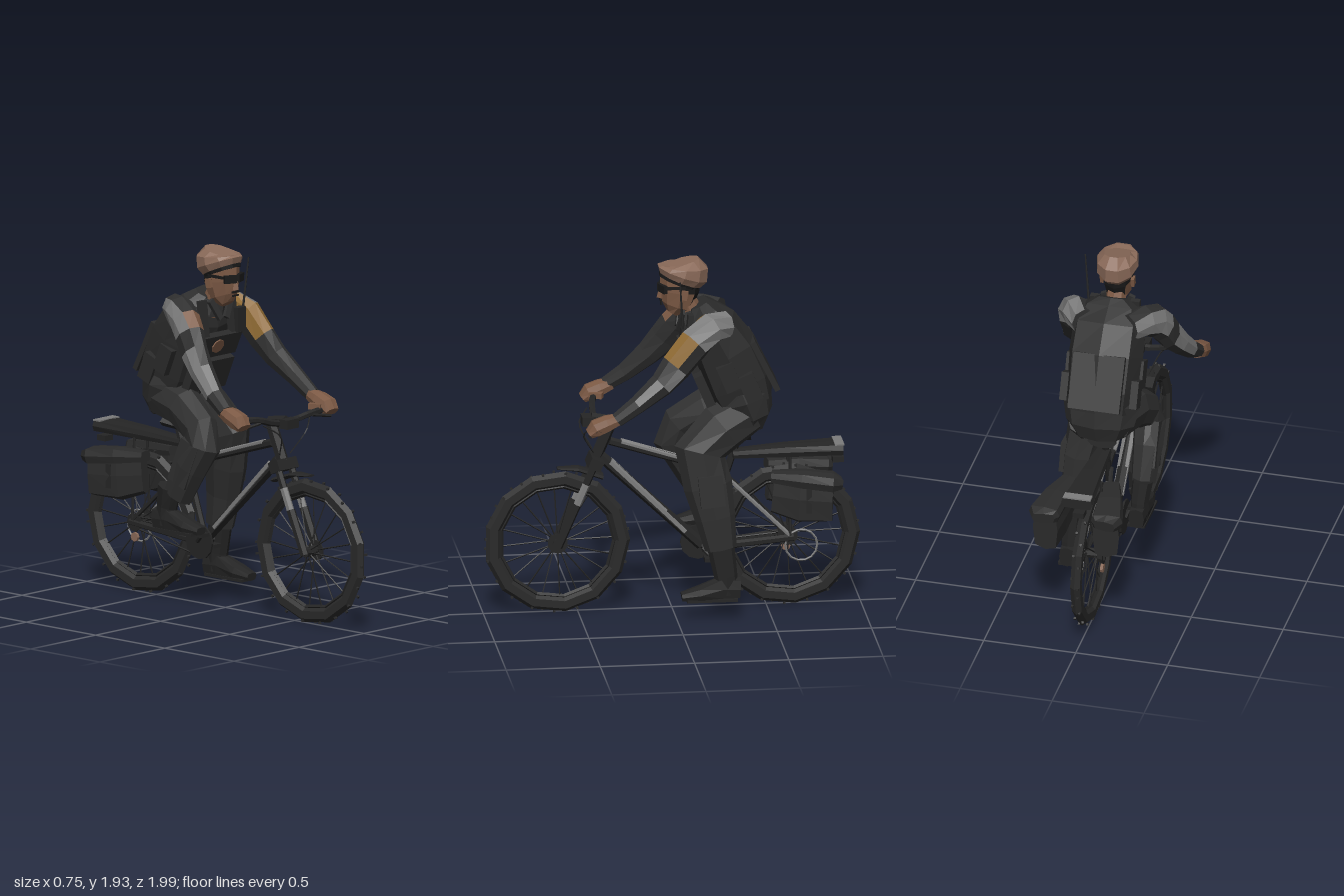
import * as THREE from 'three';

const mat = (name, color, flat = true) => {
  const m = new THREE.MeshStandardMaterial({ color, flatShading: flat });
  m.name = name;
  return m;
};

export function createModel() {
  const root = new THREE.Group();
  const cloth = mat('dark cloth', 0x303030), black = mat('black metal', 0x252525);
  const rubber = mat('tyre rubber', 0x2a2a2a), vestM = mat('vest', 0x2b2b2b);
  const skin = mat('skin', 0x7d5a45), capM = mat('cap brown', 0x8a6a59);
  const ochre = mat('ochre patch', 0x8f6a33), grey = mat('grey', 0x7c7c7c), hair = mat('glossy black', 0x191919);

  const group = (name, parent = root) => {
    const g = new THREE.Group();
    g.name = name;
    parent.add(g);
    return g;
  };
  const add = (parent, name, geo, m, pos = [0, 0, 0], rot = [0, 0, 0]) => {
    const o = new THREE.Mesh(geo, m);
    o.name = name;
    o.position.set(...pos);
    o.rotation.set(...rot);
    parent.add(o);
    return o;
  };
  const box = (p, name, size, m, pos, rot) => add(p, name, new THREE.BoxGeometry(...size), m, pos, rot);
  // straight bar between two points
  const rod = (p, name, a, b, r, m, r2 = r, sides = 6) => {
    const A = new THREE.Vector3(...a), B = new THREE.Vector3(...b), d = B.clone().sub(A);
    const o = add(p, name, new THREE.CylinderGeometry(r2, r, d.length(), sides), m);
    o.position.copy(A).add(B).multiplyScalar(0.5);
    o.quaternion.setFromUnitVectors(new THREE.Vector3(0, 1, 0), d.normalize());
    return o;
  };
  // skin over cross-sections [x, y, z, halfWidth, halfDepth]; paint(ring, side) picks a material
  const loft = (p, name, secs, mats, paint, power = 1, n = 8) => {
    const c = secs.map(s => new THREE.Vector3(s[0], s[1], s[2])), X = new THREE.Vector3(1, 0, 0);
    const pw = v => Math.sign(v) * Math.abs(v) ** power;
    const rings = secs.map((s, i) => {
      const t = c[Math.min(i + 1, c.length - 1)].clone().sub(c[Math.max(i - 1, 0)]).normalize();
      const side = X.clone().addScaledVector(t, -t.x).normalize(), nn = t.clone().cross(side);
      return Array.from({ length: n }, (_, j) => {
        const a = j / n * Math.PI * 2;
        return c[i].clone().addScaledVector(side, pw(Math.cos(a)) * s[3]).addScaledVector(nn, pw(Math.sin(a)) * s[4]);
      });
    });
    const list = Array.isArray(mats) ? mats : [mats], buckets = list.map(() => []), last = c.length - 1;
    for (let j = 0; j < n; j++) {
      const k = (j + 1) % n;
      buckets[0].push(c[0], rings[0][k], rings[0][j], c[last], rings[last][j], rings[last][k]);
      for (let i = 0; i < last; i++) {
        const a = rings[i][j], b = rings[i][k], d = rings[i + 1][j], e = rings[i + 1][k];
        buckets[paint ? paint(i, j) : 0].push(a, b, e, a, e, d);
      }
    }
    const g = new THREE.BufferGeometry().setFromPoints(buckets.flat());
    let start = 0;
    buckets.forEach((b, i) => { g.addGroup(start, b.length, i); start += b.length; });
    g.computeVertexNormals();
    return add(p, name, g, list);
  };

  // ---------- bicycle ----------
  const bike = group('bicycle');
  bike.position.x = 0.01;
  const wheel = (name, z) => {
    const w = group(name, bike);
    w.position.set(0, 0.385, z);
    w.rotation.y = Math.PI / 2;
    add(w, 'tyre', new THREE.TorusGeometry(0.347, 0.042, 6, 13), rubber).scale.z = 0.72;
    add(w, 'rim', new THREE.TorusGeometry(0.305, 0.012, 4, 13), black);
    add(w, 'hub', new THREE.CylinderGeometry(0.028, 0.028, 0.1, 8), black, [0, 0, 0], [Math.PI / 2, 0, 0]);
    add(w, 'brakeDisc', new THREE.CylinderGeometry(0.055, 0.055, 0.008, 10), black, [0, 0, 0.035], [Math.PI / 2, 0, 0]);
    for (let i = 0; i < 20; i++) {
      const a = i / 20 * Math.PI * 2;
      rod(w, 'spoke', [Math.cos(a) * 0.025, Math.sin(a) * 0.025, i % 2 ? 0.025 : -0.025],
        [Math.cos(a + 0.05) * 0.31, Math.sin(a + 0.05) * 0.31, 0], 0.004, black, 0.004, 4);
    }
    for (let i = 0; i < 39; i++) {
      const a = i / 39 * Math.PI * 2;
      box(w, 'tread', [0.012, 0.012, 0.012], rubber, [Math.cos(a) * 0.38, Math.sin(a) * 0.38, i % 2 ? 0.016 : -0.016], [0, 0, a]);
    }
  };
  wheel('frontWheel', 0.61);
  wheel('rearWheel', -0.61);

  // frame tubes with pale side strips
  const bb = [0, 0.34, -0.155];
  rod(bike, 'topTube', [0, 0.93, 0.33], [0, 0.74, -0.28], 0.022, black);
  rod(bike, 'downTube', [0, 0.85, 0.38], bb, 0.03, black);
  rod(bike, 'seatTube', bb, [0, 0.95, -0.36], 0.02, black);
  rod(bike, 'headTube', [0, 1.04, 0.32], [0, 0.84, 0.405], 0.032, black);
  for (const s of [1, -1]) {
    rod(bike, 'topTubeStrip', [s * 0.014, 0.927, 0.27], [s * 0.014, 0.775, -0.2], 0.012, grey);
    rod(bike, 'downTubeStrip', [s * 0.014, 0.82, 0.33], [s * 0.014, 0.42, -0.07], 0.019, grey);
    rod(bike, 'chainStay', [s * 0.03, 0.33, -0.155], [s * 0.06, 0.38, -0.64], 0.02, black);
    rod(bike, 'seatStay', [s * 0.02, 0.72, -0.28], [s * 0.06, 0.39, -0.62], 0.012, s > 0 ? grey : black);
    rod(bike, 'forkTop', [s * 0.05, 0.84, 0.405], [s * 0.05, 0.7, 0.465], 0.02, black);
    rod(bike, 'forkStanchion', [s * 0.05, 0.71, 0.46], [s * 0.05, 0.57, 0.52], 0.021, grey);
    rod(bike, 'forkLeg', [s * 0.05, 0.6, 0.51], [s * 0.05, 0.37, 0.61], 0.024, black);
    rod(bike, 'crankArm', [s * 0.06, 0.34, -0.155], [s * 0.08, 0.34 - s * 0.05, -0.15 - s * 0.05], 0.012, black);
    box(bike, 'pedal', [0.06, 0.02, 0.08], black, [s * 0.1, 0.34 - s * 0.05, -0.15 - s * 0.05]);
    rod(bike, 'chain', [-0.055, 0.34 + s * 0.075, -0.16], [-0.055, 0.38 + s * 0.03, -0.61], 0.005, black, 0.005, 4);
    rod(bike, 'rackStrut', [s * 0.05, 0.83, -0.62], [s * 0.065, 0.39, -0.62], 0.008, black);
  }
  box(bike, 'forkCrown', [0.15, 0.06, 0.07], black, [0, 0.82, 0.41], [-0.4, 0, 0]);
  loft(bike, 'frontFender', [[0, 0.79, 0.61, 0.025, 0.006], [0, 0.785, 0.5, 0.05, 0.012], [0, 0.74, 0.37, 0.06, 0.015]], black);
  add(bike, 'chainring', new THREE.CylinderGeometry(0.095, 0.095, 0.012, 12), black, [-0.055, 0.34, -0.145], [0, 0, Math.PI / 2]);
  add(bike, 'cassette', new THREE.CylinderGeometry(0.05, 0.04, 0.03, 10), black, [-0.05, 0.38, -0.61], [0, 0, Math.PI / 2]);
  add(bike, 'derailleurWheel', new THREE.CylinderGeometry(0.025, 0.025, 0.015, 8), capM, [-0.055, 0.3, -0.61], [0, 0, Math.PI / 2]);
  add(bike, 'cableLoop', new THREE.TorusGeometry(0.085, 0.006, 4, 14), grey, [0.055, 0.335, -0.68], [0, Math.PI / 2, 0]);
  loft(bike, 'saddle', [[0, 0.93, -0.17, 0.025, 0.015], [0, 0.93, -0.3, 0.05, 0.025], [0, 0.95, -0.41, 0.08, 0.035]], black);

  // handlebar, stem and cables
  const bar = new THREE.CatmullRomCurve3([[-0.36, 1.09, 0.355], [-0.2, 1.09, 0.4], [-0.07, 1.055, 0.41], [0.07, 1.055, 0.42], [0.2, 1.08, 0.44], [0.36, 1.08, 0.43]]
    .map(p => new THREE.Vector3(...p)));
  add(bike, 'handlebar', new THREE.TubeGeometry(bar, 14, 0.018, 6), black);
  rod(bike, 'stem', [0, 1.04, 0.31], [0, 1.06, 0.43], 0.03, black);
  box(bike, 'headlamp', [0.09, 0.05, 0.06], black, [0, 1.05, 0.45]);
  for (const s of [1, -1]) {
    rod(bike, 'brakeLever', [s * 0.18, 1.07, 0.43 + s * 0.02], [s * 0.3, 1.05, 0.43 + s * 0.04], 0.009, black);
    const cable = new THREE.CatmullRomCurve3([[s * 0.18, 1.06, 0.43], [s * 0.1, 1.0, 0.48], [s * 0.04, 0.88, 0.42]].map(p => new THREE.Vector3(...p)));
    add(bike, 'brakeCable', new THREE.TubeGeometry(cable, 8, 0.004, 4), black);
  }

  // rear rack and bags
  loft(bike, 'rackTop', [[0.01, 0.84, -0.32, 0.04, 0.022], [0.01, 0.85, -0.58, 0.06, 0.03], [0.01, 0.858, -0.9, 0.085, 0.032]], black, null, 0.4);
  box(bike, 'rackRearStrip', [0.15, 0.008, 0.05], grey, [0.01, 0.888, -0.88]);
  box(bike, 'tailLight', [0.06, 0.03, 0.06], black, [0, 0.79, -0.88]);
  for (const s of [1, -1]) {
    const bag = group(s > 0 ? 'leftPannier' : 'rightPannier', bike);
    bag.position.x = 0.035;
    loft(bag, 'bagBody', [[s * 0.11, 0.65, -0.52, 0.035, 0.1], [s * 0.14, 0.635, -0.66, 0.055, 0.135], [s * 0.165, 0.63, -0.83, 0.07, 0.125]], vestM, null, 0.5);
    loft(bag, 'bagLid', [[s * 0.115, 0.75, -0.51, 0.045, 0.03], [s * 0.145, 0.74, -0.67, 0.07, 0.045], [s * 0.17, 0.725, -0.83, 0.085, 0.045], [s * 0.165, 0.72, -0.87, 0.06, 0.03]], vestM, null, 0.5);
    box(bag, 'bagStrap', [0.01, 0.13, 0.03], black, [s * 0.2, 0.63, -0.7], [0, s * -0.15, 0]);
  }

  // ---------- rider ----------
  const rider = group('rider');
  loft(rider, 'pelvis', [[0.02, 1.0, -0.41, 0.14, 0.08], [0.02, 1.07, -0.41, 0.185, 0.125], [0.02, 1.17, -0.37, 0.21, 0.165], [0.02, 1.22, -0.35, 0.195, 0.165]], cloth);
  loft(rider, 'vest', [[0.02, 1.14, -0.385, 0.185, 0.155], [0.02, 1.25, -0.345, 0.195, 0.18], [0.02, 1.42, -0.275, 0.2, 0.175],
    [0.02, 1.56, -0.2, 0.195, 0.145], [0.02, 1.64, -0.155, 0.155, 0.085], [0.02, 1.68, -0.135, 0.085, 0.055]], vestM, null, 0.75);
  box(rider, 'backPanel', [0.28, 0.3, 0.03], vestM, [0.02, 1.355, -0.478], [0.46, 0, 0]);
  box(rider, 'lowerFrontPouch', [0.29, 0.18, 0.05], vestM, [0.03, 1.235, -0.155], [0.4, 0, 0]);
  const chest = group('chestPanel', rider);
  chest.position.set(0.02, 1.4, -0.085);
  chest.rotation.x = 0.42;
  box(chest, 'upperFrontPouch', [0.31, 0.13, 0.04], vestM);
  add(chest, 'chestEmblem', new THREE.CylinderGeometry(0.043, 0.043, 0.008, 8), skin, [-0.01, 0.003, 0.023], [Math.PI / 2, 0, 0]).scale.z = 0.95;
  for (const s of [1, -1]) {
    for (const k of [0, 1]) box(rider, 'sidePouch', [0.04, 0.15, 0.09], vestM, [0.02 + s * 0.19, 1.26 + k * 0.06, -0.39 + k * 0.11], [0.4, 0, 0]);
    box(rider, 'shoulderStrap', [0.05, 0.22, 0.03], vestM, [0.02 + s * 0.11, 1.54, -0.075], [-0.1, 0, 0]);
    box(rider, 'collarFlap', [0.035, 0.12, 0.02], cloth, [0.015 + s * 0.05, 1.6, -0.04], [-0.2, 0, s * -0.5]);
  }
  box(rider, 'radio', [0.06, 0.13, 0.04], black, [0.16, 1.52, -0.05]);
  rod(rider, 'antenna', [0.175, 1.56, -0.04], [0.2, 1.85, -0.02], 0.007, black, 0.004);

  // arms: upper-front sides are 0-3, outer sides mirrored for the right arm
  const arm = (name, s, pts, paint) => {
    const secs = pts.map(([x, ...r]) => [x * s, ...r]);
    loft(rider, name, secs, [cloth, ochre, grey, skin], (i, j) => paint(i, s > 0 ? j : (11 - j) % 8));
  };
  arm('leftArm', 1, [[0.14, 1.59, -0.27, 0.07, 0.075], [0.2, 1.59, -0.18, 0.085, 0.085], [0.26, 1.53, -0.09, 0.07, 0.09], [0.275, 1.41, 0.01, 0.06, 0.085],
    [0.295, 1.32, 0.09, 0.06, 0.068], [0.315, 1.22, 0.22, 0.05, 0.05], [0.32, 1.14, 0.33, 0.04, 0.04]],
  (i, j) => {
    if (i === 2 && j < 4 || i === 1 && (j === 2 || j === 3)) return 1;
    if (i < 2 && (j === 7 || j < 2) || i === 4 && j === 0 || i === 3 && j === 7) return 2;
    return 0;
  });
  arm('rightArm', -1, [[0.1, 1.59, -0.27, 0.07, 0.075], [0.16, 1.59, -0.18, 0.08, 0.085], [0.2, 1.55, -0.1, 0.075, 0.09], [0.225, 1.49, -0.045, 0.07, 0.088],
    [0.25, 1.41, 0.01, 0.06, 0.085], [0.275, 1.32, 0.09, 0.06, 0.068], [0.305, 1.21, 0.21, 0.05, 0.05], [0.325, 1.14, 0.31, 0.04, 0.04]],
  (i, j) => {
    if (i === 2 && (j === 1 || j === 2)) return 3;
    if (i < 3 && (j === 0 || j === 7) || (i === 4 || i === 5) && (j === 0 || j === 7) || i === 5 && j === 1) return 2;
    return 0;
  });
  for (const [name, x, z] of [['leftHand', 0.315, 0.41], ['rightHand', -0.32, 0.37]]) {
    loft(rider, name, [[x, 1.145, z - 0.09, 0.035, 0.032], [x, 1.125, z - 0.03, 0.052, 0.042], [x, 1.1, z + 0.03, 0.055, 0.045], [x, 1.07, z + 0.065, 0.045, 0.025]], skin, null, 0.7);
    box(rider, 'thumb', [0.04, 0.03, 0.07], skin, [x - Math.sign(x) * 0.06, 1.1, z], [0, Math.sign(x) * 0.4, 0]);
  }

  // legs and boots
  loft(rider, 'leftTrouser', [[0.1, 1.1, -0.4, 0.1, 0.12], [0.13, 1.02, -0.25, 0.105, 0.14], [0.16, 0.9, -0.13, 0.1, 0.14], [0.185, 0.72, -0.17, 0.092, 0.13],
    [0.205, 0.55, -0.205, 0.075, 0.108], [0.21, 0.38, -0.235, 0.062, 0.085]], cloth);
  loft(rider, 'rightTrouser', [[-0.06, 1.1, -0.4, 0.1, 0.12], [-0.1, 1.06, -0.2, 0.1, 0.115], [-0.13, 0.97, -0.06, 0.088, 0.105], [-0.15, 0.88, -0.02, 0.085, 0.1],
    [-0.16, 0.77, -0.1, 0.08, 0.105], [-0.16, 0.6, -0.19, 0.065, 0.09]], cloth);
  box(rider, 'leftPocket', [0.04, 0.17, 0.13], cloth, [0.262, 0.71, -0.18], [0.1, 0, 0.05]);
  box(rider, 'rightPocket', [0.04, 0.25, 0.13], cloth, [-0.205, 0.79, -0.1], [0.4, 0, 0]);
  const boot = (name, x, y, z, top) => {
    const b = group(name, rider);
    b.position.set(x, y, z);
    loft(b, 'shaft', [[-0.01, top, 0.03, 0.055, 0.075], [0, 0.13, 0, 0.048, 0.062], [0, 0.03, -0.01, 0.045, 0.06]], black);
    loft(b, 'shoe', [[0, 0.06, -0.075, 0.042, 0.058], [0, 0.065, 0.02, 0.048, 0.063], [0.01, 0.04, 0.14, 0.055, 0.038], [0.01, 0.025, 0.235, 0.035, 0.022]], black, null, 0.6);
    box(b, 'sole', [0.095, 0.015, 0.27], black, [0.005, 0.006, 0.075]);
  };
  boot('leftBoot', 0.22, 0.1, -0.26, 0.32);
  boot('rightBoot', -0.16, 0.4, -0.27, 0.24);

  // head
  const head = group('head', rider);
  head.position.x = 0.015;
  loft(head, 'neck', [[0, 1.57, -0.13, 0.06, 0.065], [0, 1.69, -0.07, 0.052, 0.06]], skin);
  loft(head, 'collar', [[0, 1.59, -0.13, 0.1, 0.1], [0, 1.655, -0.1, 0.07, 0.078]], cloth);
  loft(head, 'skull', [[0, 1.63, 0.0, 0.038, 0.035], [0, 1.67, -0.025, 0.066, 0.085], [0, 1.75, -0.04, 0.08, 0.105], [0, 1.84, -0.045, 0.082, 0.11]],
    [skin, hair], (i, j) => (i > 0 && (j === 1 || j === 2) || i === 2 && (j === 0 || j === 3) ? 1 : 0));
  rod(head, 'nose', [0, 1.715, 0.06], [0, 1.775, 0.06], 0.022, skin, 0.008, 4);
  box(head, 'mouth', [0.045, 0.008, 0.008], hair, [0, 1.682, 0.058]);
  box(head, 'moustache', [0.05, 0.01, 0.01], hair, [0, 1.702, 0.06]);
  for (const s of [1, -1]) {
    box(head, 'lens', [0.068, 0.042, 0.02], hair, [s * 0.037, 1.773, 0.055], [0, s * 0.4, 0]);
    box(head, 'glassesArm', [0.008, 0.015, 0.11], hair, [s * 0.08, 1.785, -0.01]);
    box(head, 'ear', [0.018, 0.05, 0.035], skin, [s * 0.084, 1.745, -0.055], [-0.2, 0, 0]);
  }
  loft(head, 'capBand', [[0, 1.797, -0.033, 0.088, 0.112], [0, 1.825, -0.044, 0.095, 0.12]], hair, null, 1, 10);
  loft(head, 'cap', [[0, 1.812, -0.04, 0.096, 0.12], [0, 1.845, -0.054, 0.114, 0.142], [0, 1.885, -0.066, 0.108, 0.128], [0, 1.91, -0.06, 0.07, 0.085]], capM, null, 1, 10);
  return root;
}
